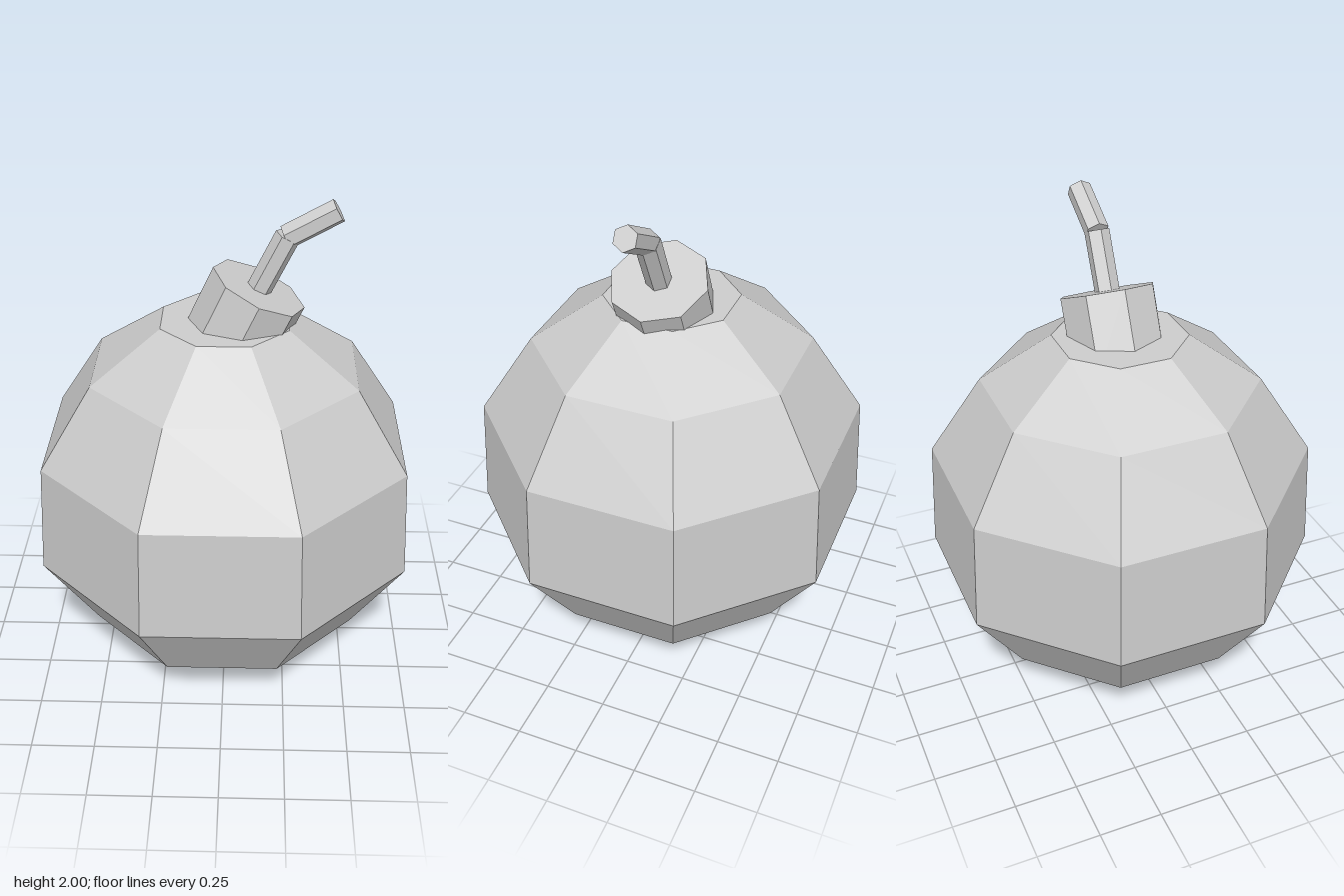
import * as THREE from 'three';

export function createModel() {
  const group = new THREE.Group();
  const grey = new THREE.MeshStandardMaterial({ color: 0xcccccc, flatShading: true });
  grey.name = 'grey';

  const add = (name, geometry) => {
    const mesh = new THREE.Mesh(geometry, grey);
    mesh.name = name;
    group.add(mesh);
    return mesh;
  };

  // Capped prism running between two points in the x-y plane
  const prism = (name, from, to, radius, sides, turn) => {
    const a = new THREE.Vector3(from[0], from[1], 0);
    const b = new THREE.Vector3(to[0], to[1], 0);
    const dir = b.clone().sub(a);
    const mesh = add(name, new THREE.CylinderGeometry(radius, radius, dir.length(), sides, 1, false, turn));
    mesh.position.copy(a).add(b).multiplyScalar(0.5);
    mesh.rotation.z = Math.atan2(-dir.x, dir.y);
  };

  // Eight-sided round body; the profile gives the distance to each flat side
  const profile = [[0, 0], [0.225, 0], [0.53, 0.225], [0.73, 0.55], [0.707, 1], [0.51, 1.325], [0.245, 1.52], [0, 1.52]];
  const toCorner = 1 / Math.cos(Math.PI / 8);
  const points = profile.map(([r, y]) => new THREE.Vector2(r * toCorner, y));
  add('body', new THREE.LatheGeometry(points, 8, Math.PI / 8));

  // Tilted collar sunk into the top of the body
  prism('collar', [0.002, 1.378], [0.128, 1.65], 0.192, 8, 0);

  // Bent fuse made of two hexagonal lengths
  prism('fuseLower', [0.11, 1.61], [0.231, 1.857], 0.049, 6, Math.PI / 6);
  prism('fuseUpper', [0.226, 1.853], [0.415, 1.958], 0.048, 6, Math.PI / 6);

  return group;
}
